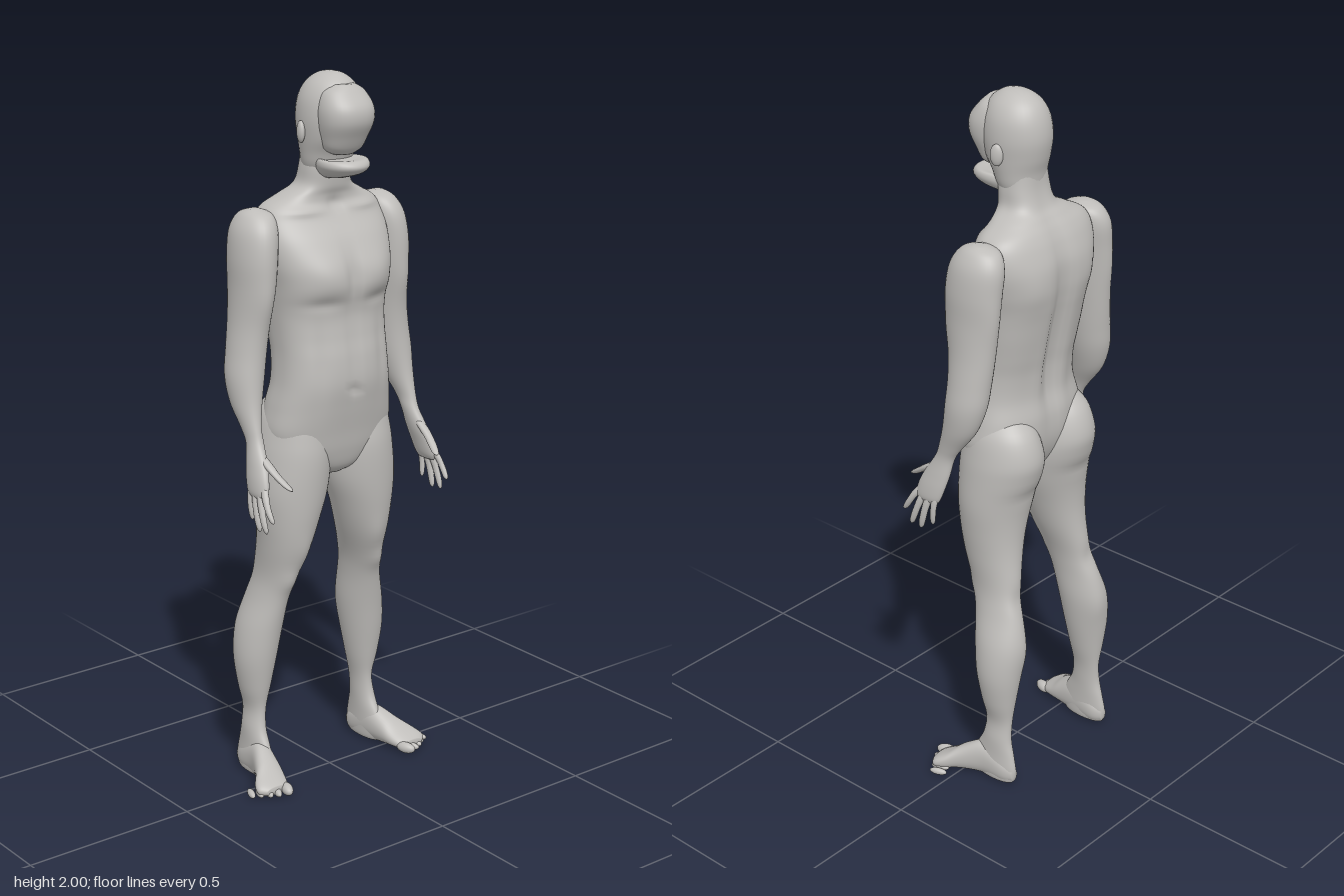
import * as THREE from 'three';

const skin = new THREE.MeshStandardMaterial({ color: 0xbfbdba });
skin.name = 'plain grey skin';

const spline = (a, b, c, d, t) =>
  0.5 * (2 * b + (c - a) * t + (2 * a - 5 * b + 4 * c - d) * t * t + (3 * b - a - 3 * c + d) * t * t * t);

// Smooth skin over cross-sections [level, xMin, xMax, zMin, zMax], listed from top to bottom.
// With alongZ the levels run along z (back to front) and the last two values are heights.
function loft(name, rows, { side = 1, n = 36, sub = 5, power = 1, bumps = [], alongZ = false } = {}) {
  const rings = [];
  for (let r = 0; r < rows.length - 1; r++) {
    const q = [-1, 0, 1, 2].map((k) => rows[Math.min(rows.length - 1, Math.max(0, r + k))]);
    for (let s = 0; s < sub; s++) rings.push(rows[r].map((_, j) => spline(q[0][j], q[1][j], q[2][j], q[3][j], s / sub)));
  }
  rings.push(rows[rows.length - 1]);

  const pos = [];
  const index = [];
  const put = (x, y, z) => (alongZ ? pos.push(x, z, y) : pos.push(x, y, z));
  const soft = (v) => Math.sign(v) * Math.abs(v) ** power;
  for (const [y, xa, xb, z0, z1] of rings) {
    const [x0, x1] = side < 0 ? [-xb, -xa] : [xa, xb];
    const cz = (z0 + z1) / 2;
    for (let i = 0; i < n; i++) {
      const a = (i / n) * Math.PI * 2;
      const x = (x0 + x1) / 2 + ((x1 - x0) / 2) * soft(Math.cos(a));
      let z = cz + ((z1 - z0) / 2) * soft(Math.sin(a));
      const depth = (z - cz) / 0.05;
      // muscle swellings and grooves: [x, y, front or back, amount, width, height]
      for (const [bx, by, face, amount, w, h] of bumps) {
        const facing = Math.min(1, Math.max(0, depth * face));
        z += face * amount * facing * Math.exp(-(((Math.abs(x) - bx) / w) ** 2) - ((y - by) / h) ** 2);
      }
      put(x, y, z);
    }
  }
  for (let r = 0; r < rings.length - 1; r++) {
    for (let i = 0; i < n; i++) {
      const a = r * n + i, b = r * n + ((i + 1) % n);
      index.push(a, b, a + n, b, b + n, a + n);
    }
  }
  // close both ends
  [0, rings.length - 1].forEach((r, end) => {
    const [y, xa, xb, z0, z1] = rings[r];
    put((side * (xa + xb)) / 2, y, (z0 + z1) / 2);
    const c = pos.length / 3 - 1;
    for (let i = 0; i < n; i++) {
      const a = r * n + i, b = r * n + ((i + 1) % n);
      end ? index.push(a, b, c) : index.push(b, a, c);
    }
  });
  const g = new THREE.BufferGeometry();
  g.setAttribute('position', new THREE.Float32BufferAttribute(pos, 3));
  g.setIndex(index);
  g.computeVertexNormals();
  const mesh = new THREE.Mesh(g, skin);
  mesh.name = name;
  return mesh;
}

// Cross-sections mirrored about x = 0: [level, halfWidth, zMin, zMax]
const even = (rows) => rows.map(([y, w, z0, z1]) => [y, -w, w, z0, z1]);

function ellipsoid(name, p, r, turn = 0) {
  const m = new THREE.Mesh(new THREE.SphereGeometry(1, 20, 14), skin);
  m.position.set(...p);
  m.scale.set(...r);
  m.rotation.y = turn;
  m.name = name;
  return m;
}

// Tapered finger between two points, slightly bowed outward
function finger(name, a, b, r, side) {
  const rows = [[0, 0.8], [0.25, 1], [0.5, 0.9], [0.75, 0.85], [0.93, 0.65], [1, 0.15]].map(([t, k]) => {
    const [x, y, z] = a.map((v, i) => v + (b[i] - v) * t);
    const bow = 0.006 * Math.sin(t * Math.PI);
    return [y, x + bow - r * k, x + bow + r * k, z - r * k * 1.25, z + r * k * 1.25];
  });
  return loft(name, rows, { side, n: 14, sub: 3 });
}

function makeTorso() {
  return loft('torso and neck', even([
    [1.82, 0.06, -0.075, 0.03], [1.75, 0.07, -0.08, 0.035], [1.70, 0.08, -0.095, 0.03],
    [1.672, 0.125, -0.115, 0.022], [1.645, 0.175, -0.135, 0.025], [1.61, 0.195, -0.153, 0.045],
    [1.56, 0.2, -0.168, 0.08], [1.50, 0.192, -0.17, 0.11], [1.45, 0.182, -0.165, 0.12],
    [1.41, 0.177, -0.158, 0.115], [1.36, 0.172, -0.148, 0.102], [1.30, 0.168, -0.135, 0.106],
    [1.24, 0.167, -0.122, 0.115], [1.17, 0.173, -0.117, 0.117], [1.10, 0.187, -0.128, 0.105],
    [1.03, 0.196, -0.125, 0.09], [0.97, 0.17, -0.105, 0.078], [0.92, 0.09, -0.07, 0.06],
    [0.895, 0.025, -0.03, 0.03],
  ]), {
    n: 72, sub: 6, power: 0.82, bumps: [
      [0.085, 1.47, 1, 0.008, 0.05, 0.05],    // chest muscles
      [0, 1.46, 1, -0.016, 0.02, 0.07],       // breastbone
      [0.09, 1.395, 1, -0.008, 0.06, 0.018],  // crease under chest
      [0.1, 1.635, 1, 0.008, 0.06, 0.012],    // collar bones
      [0, 1.645, 1, -0.01, 0.02, 0.02],       // throat notch
      [0, 1.26, 1, -0.006, 0.012, 0.1],       // middle of the belly
      [0.1, 1.24, 1, -0.006, 0.018, 0.1],     // sides of the belly
      [0, 1.15, 1, -0.01, 0.01, 0.012],       // navel
      [0, 1.36, -1, -0.025, 0.028, 0.24],     // spine
      [0.11, 1.5, -1, 0.007, 0.05, 0.06],     // shoulder blades
      [0.05, 1.2, -1, 0.006, 0.025, 0.1],     // lower back
    ],
  });
}

function makeHead() {
  const head = new THREE.Group();
  head.name = 'head';
  head.add(
    loft('skull', even([
      [2.0, 0.006, -0.006, 0.018], [1.992, 0.034, -0.04, 0.045], [1.968, 0.063, -0.072, 0.075],
      [1.93, 0.082, -0.091, 0.09], [1.88, 0.088, -0.098, 0.095], [1.83, 0.084, -0.091, 0.085],
      [1.79, 0.078, -0.08, 0.06], [1.755, 0.071, -0.075, 0.045], [1.72, 0.055, -0.065, 0.02],
    ])),
    loft('face', even([
      [1.972, 0.03, 0.03, 0.085], [1.953, 0.06, 0.01, 0.104], [1.915, 0.076, 0, 0.133],
      [1.875, 0.077, 0, 0.135], [1.835, 0.068, 0, 0.115], [1.803, 0.056, 0.01, 0.097],
      [1.787, 0.03, 0.02, 0.08],
    ]), { power: 0.9 }),
    loft('jaw', even([
      [1.772, 0.045, 0, 0.085], [1.774, 0.066, -0.01, 0.118], [1.757, 0.07, -0.02, 0.132],
      [1.738, 0.058, -0.02, 0.112], [1.722, 0.035, -0.02, 0.06],
    ])),
  );
  for (const s of [1, -1]) head.add(ellipsoid('ear', [s * 0.09, 1.845, -0.008], [0.011, 0.03, 0.018], s * 0.4));
  return head;
}

function makeArm(side) {
  const arm = new THREE.Group();
  arm.name = side > 0 ? 'left arm' : 'right arm';
  arm.add(loft('arm and palm', [
    [1.648, 0.195, 0.225, -0.07, -0.04], [1.632, 0.165, 0.25, -0.112, 0.002], [1.59, 0.16, 0.272, -0.133, 0.03],
    [1.52, 0.168, 0.281, -0.132, 0.04], [1.44, 0.175, 0.281, -0.125, 0.036], [1.35, 0.186, 0.286, -0.12, 0.022],
    [1.27, 0.195, 0.297, -0.113, 0.016], [1.20, 0.206, 0.306, -0.105, 0.018], [1.13, 0.225, 0.302, -0.08, 0.025],
    [1.07, 0.245, 0.293, -0.035, 0.038], [1.03, 0.25, 0.291, -0.01, 0.052], [0.98, 0.258, 0.3, 0, 0.082],
    [0.94, 0.268, 0.307, 0.01, 0.1], [0.905, 0.277, 0.309, 0.022, 0.107], [0.888, 0.286, 0.302, 0.035, 0.1],
  ], { side, bumps: [[0.235, 1.4, 1, 0.006, 0.03, 0.06], [0.24, 1.45, -1, 0.006, 0.03, 0.06]] }));
  const tips = [[0.303, 0.84, 0.145], [0.305, 0.805, 0.118], [0.303, 0.802, 0.085], [0.298, 0.825, 0.045]];
  tips.forEach((tip, i) => arm.add(finger('finger', [0.292, 0.925, 0.092 - i * 0.019], tip, 0.0095 - (i === 3) * 0.0015, side)));
  arm.add(finger('thumb', [0.272, 1.0, 0.055], [0.252, 0.925, 0.16], 0.013, side));
  return arm;
}

function makeLeg(side) {
  const leg = new THREE.Group();
  leg.name = side > 0 ? 'left leg' : 'right leg';
  leg.add(loft('leg', [
    [1.13, 0.06, 0.15, -0.09, 0.03], [1.08, 0.03, 0.188, -0.142, 0.065], [1.01, 0.01, 0.207, -0.165, 0.08],
    [0.95, 0.004, 0.215, -0.156, 0.085], [0.865, 0.015, 0.22, -0.13, 0.081], [0.78, 0.043, 0.213, -0.12, 0.072],
    [0.70, 0.07, 0.205, -0.122, 0.056], [0.61, 0.102, 0.2, -0.135, 0.024], [0.54, 0.114, 0.213, -0.152, 0.002],
    [0.45, 0.119, 0.241, -0.17, -0.016], [0.36, 0.132, 0.25, -0.165, -0.03], [0.27, 0.15, 0.237, -0.153, -0.046],
    [0.20, 0.166, 0.22, -0.144, -0.058], [0.14, 0.171, 0.225, -0.145, -0.05], [0.09, 0.173, 0.226, -0.157, -0.025],
    [0.045, 0.174, 0.228, -0.166, -0.01], [0.01, 0.177, 0.226, -0.16, -0.02], [0, 0.19, 0.215, -0.14, -0.04],
  ], {
    side, n: 44, bumps: [
      [0.155, 0.6, 1, 0.008, 0.03, 0.03],      // kneecap
      [0.125, 0.68, 1, 0.006, 0.025, 0.05],    // inner thigh muscle
      [0.155, 0.58, -1, -0.01, 0.025, 0.04],   // hollow of the knee
      [0.11, 0.9, -1, -0.006, 0.06, 0.02],     // fold under the seat
      [0.155, 0.42, -1, 0.005, 0.025, 0.06],   // calf
    ],
  }));
  leg.add(loft('foot', [
    [-0.163, 0.19, 0.212, 0.015, 0.05], [-0.13, 0.174, 0.227, 0.001, 0.08], [-0.06, 0.175, 0.237, 0.001, 0.108],
    [0, 0.183, 0.265, 0.001, 0.082], [0.035, 0.19, 0.292, 0.001, 0.057], [0.062, 0.2, 0.3, 0.002, 0.041],
    [0.08, 0.215, 0.28, 0.008, 0.03],
  ], { side, alongZ: true, power: 0.9 }));
  for (let i = 0; i < 5; i++) {
    const r = i ? 0.0115 - i * 0.0004 : 0.016;
    const x = i ? 0.222 + i * 0.021 : 0.217;
    leg.add(ellipsoid('toe', [side * x, r, 0.084 - i * 0.011 - (i > 2) * 0.004], [r, r, 0.03 - i * 0.001], side * 0.35));
  }
  return leg;
}

export function createModel() {
  const figure = new THREE.Group();
  figure.name = 'standing figure';
  figure.add(makeTorso(), makeHead());
  for (const side of [1, -1]) figure.add(makeArm(side), makeLeg(side));
  return figure;
}
